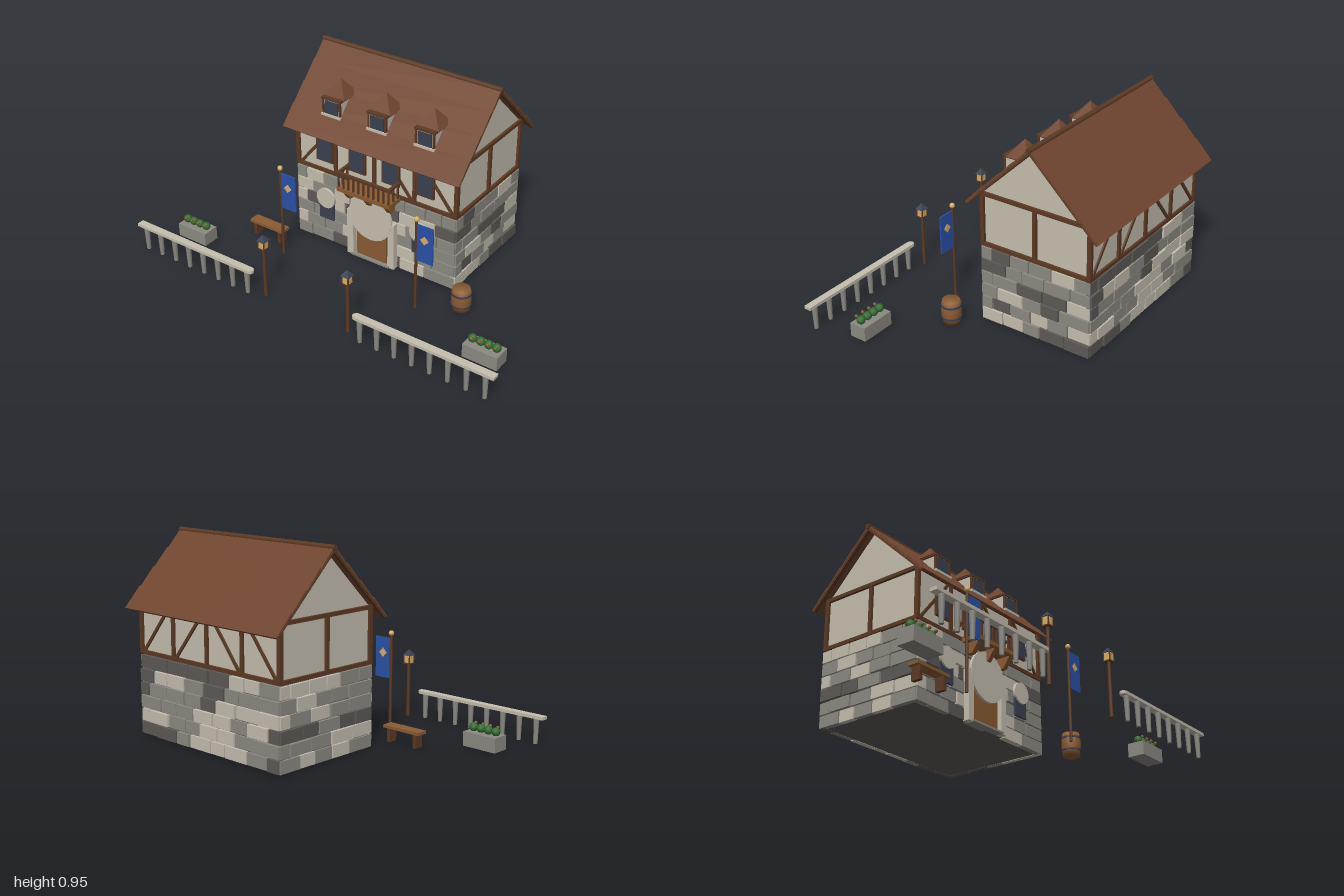
import * as THREE from 'three';

const mat = (name, color) => {
  const m = new THREE.MeshStandardMaterial({ color });
  m.name = name;
  return m;
};

export function createModel() {
  const M = {
    roof: mat('roofBrown', 0x70462f), timber: mat('darkTimber', 0x5c3a24),
    wood: mat('lightWood', 0x8a5c33), pale: mat('paleStoneAndPlaster', 0xc6bfaf),
    mid: mat('midStone', 0x8c8a82), dark: mat('darkStone', 0x5d5a56),
    slate: mat('slateBlue', 0x3a4150), blue: mat('bannerBlue', 0x2a52a8),
    green: mat('leafGreen', 0x346b30), gold: mat('gold', 0xd8b066),
  };
  const root = new THREE.Group();
  root.name = 'timberedInn';
  const add = (name, geo, m, x = 0, y = 0, z = 0, parent = root) => {
    const mesh = new THREE.Mesh(geo, m);
    mesh.name = name;
    mesh.position.set(x, y, z);
    parent.add(mesh);
    return mesh;
  };
  const box = (name, m, w, h, d, x, y, z, parent) =>
    add(name, new THREE.BoxGeometry(w, h, d), m, x, y, z, parent);
  const group = (name, x = 0, y = 0, z = 0, parent = root) => {
    const g = new THREE.Group();
    g.name = name;
    g.position.set(x, y, z);
    parent.add(g);
    return g;
  };
  // Extrudes a side profile of [z, y] points along x
  const sideExtrude = (pts, width) => {
    const s = new THREE.Shape(pts.map(([z, y]) => new THREE.Vector2(-z, y)));
    const g = new THREE.ExtrudeGeometry(s, { depth: width, bevelEnabled: false });
    return g.translate(0, 0, -width / 2).rotateY(Math.PI / 2);
  };
  let seed = 7;
  const rnd = () => (seed = (seed * 16807) % 2147483647) / 2147483647;

  const MID = -0.267; // depth of the ridge

  // Stone ground floor: dark core with courses of blocks on four sides
  box('stoneCore', M.dark, 0.89, 0.375, 0.555, 0, 0.1925, MID);
  const shades = [M.pale, M.mid, M.mid, M.mid, M.dark, M.pale];
  const stoneWall = (name, len, off, angle) => {
    const g = group(name, 0, 0, MID);
    g.rotation.y = angle;
    const rows = 6, h = 0.382 / rows;
    for (let r = 0; r < rows; r++) {
      let a = -len / 2;
      let first = r % 2 ? 0.06 : 0;
      while (a < len / 2 - 0.001) {
        let w = first || 0.085 + rnd() * 0.06;
        first = 0;
        if (len / 2 - a - w < 0.05) w = len / 2 - a;
        const depth = 0.024 + rnd() * 0.008;
        box('stone', shades[Math.floor(rnd() * shades.length)], w - 0.006, h - 0.005 - rnd() * 0.003,
          depth, a + w / 2, h * (r + 0.5), off - 0.028 + depth / 2, g);
        a += w;
      }
    }
  };
  stoneWall('frontStones', 0.91, 0.292, 0);
  stoneWall('backStones', 0.91, 0.292, Math.PI);
  stoneWall('leftStones', 0.58, 0.458, Math.PI / 2);
  stoneWall('rightStones', 0.58, 0.458, -Math.PI / 2);

  // Plastered upper floor and gables
  add('plasterWalls', sideExtrude(
    [[0.012, 0.385], [0.012, 0.645], [MID, 0.912], [-0.546, 0.645], [-0.546, 0.385]], 0.89), M.pale);

  // Timber frame on the long walls
  const T = 0.018;
  for (const s of [1, -1]) {
    const g = group(s > 0 ? 'frontFrame' : 'backFrame', 0, 0, MID);
    if (s < 0) g.rotation.y = Math.PI;
    const z = 0.28;
    for (const y of [0.394, 0.643]) box('beam', M.timber, 0.915, T, 0.02, 0, y, z, g);
    for (let i = -2; i <= 2; i++) box('post', M.timber, T, 0.25, 0.02, i * 0.2245, 0.518, z, g);
    for (const i of [-1.5, -0.5, 0.5, 1.5]) {
      const b = box('brace', M.timber, 0.014, 0.3, 0.014, i * 0.2245, 0.518, z, g);
      b.rotation.z = -Math.sign(i) * -0.68;
    }
  }
  // Timber frame on the gable walls
  for (const s of [1, -1]) {
    const g = group(s > 0 ? 'leftFrame' : 'rightFrame');
    for (const y of [0.394, 0.643]) box('beam', M.timber, 0.02, T, 0.575, s * 0.448, y, MID, g);
    for (const z of [0.013, MID, -0.547]) box('post', M.timber, 0.02, 0.25, T, s * 0.448, 0.518, z, g);
  }

  // Roof: overlapping courses on both slopes, edge boards and ridge pole
  for (const s of [1, -1]) {
    const turn = group(s > 0 ? 'frontRoof' : 'backRoof', 0, 0.93, MID);
    if (s < 0) turn.rotation.y = Math.PI;
    const slope = group('slope', 0, 0, 0, turn);
    slope.rotation.x = 0.77;
    for (let i = 0; i < 4; i++) {
      const c = box('roofCourse', M.roof, 0.985, 0.01, 0.128, 0, 0.001, 0.059 + i * 0.118, slope);
      c.rotation.x = 0.045;
    }
    for (const x of [-0.482, 0.482]) box('edgeBoard', M.timber, 0.016, 0.012, 0.472, x, -0.006, 0.237, slope);
  }
  add('ridgePole', new THREE.CylinderGeometry(0.013, 0.013, 0.995, 10).rotateZ(Math.PI / 2), M.timber, 0, 0.933, MID);

  // Dormers
  for (const x of [-0.26, 0, 0.26]) {
    const d = group('dormer', x, 0, 0);
    box('dormerWalls', M.pale, 0.094, 0.085, 0.13, 0, 0.727, -0.07, d);
    box('dormerWindow', M.slate, 0.074, 0.066, 0.006, 0, 0.73, -0.003, d);
    box('dormerSill', M.pale, 0.11, 0.012, 0.014, 0, 0.69, -0.002, d);
    for (const s of [-1, 1]) box('dormerPost', M.timber, 0.009, 0.085, 0.012, s * 0.047, 0.73, -0.006, d);
    box('dormerLintel', M.timber, 0.11, 0.01, 0.13, 0, 0.773, -0.064, d);
    add('dormerRoof', new THREE.ConeGeometry(0.085, 0.08, 4, 1).rotateY(Math.PI / 4).toNonIndexed(),
      M.roof, 0, 0.815, -0.082, d).geometry.computeVertexNormals();
  }

  // Upper windows
  for (const x of [-0.285, -0.095, 0.095, 0.285]) {
    box('upperWindowFrame', M.timber, 0.096, 0.124, 0.012, x, 0.51, 0.02);
    box('upperWindow', M.slate, 0.082, 0.11, 0.006, x, 0.51, 0.026);
  }

  // Round-headed ground floor openings
  const disc = (name, r, x, y, z) =>
    add(name, new THREE.CylinderGeometry(r, r, 0.014, 32).rotateX(Math.PI / 2), M.pale, x, y, z);
  for (const x of [-0.27, 0.27]) {
    box('lowerWindow', M.slate, 0.085, 0.12, 0.01, x, 0.195, 0.034);
    disc('windowArch', 0.053, x, 0.255, 0.04);
  }
  box('door', M.wood, 0.17, 0.24, 0.02, 0, 0.125, 0.033);
  disc('doorArch', 0.122, 0, 0.245, 0.049);
  for (const s of [-1, 1]) box('doorPillar', M.pale, 0.036, 0.25, 0.034, s * 0.118, 0.125, 0.037);
  box('doorStep', M.mid, 0.22, 0.01, 0.04, 0, 0.005, 0.04);

  // Balcony
  const balcony = group('balcony');
  box('balconyFloor', M.wood, 0.3, 0.02, 0.1, 0, 0.387, 0.065, balcony);
  const corbel = sideExtrude([[0.02, 0.378], [0.105, 0.378], [0.065, 0.322], [0.035, 0.322]], 0.024);
  for (const x of [-0.115, 0, 0.115]) add('corbel', corbel, M.wood, x, 0, 0, balcony);
  box('frontHandrail', M.timber, 0.31, 0.01, 0.014, 0, 0.475, 0.108, balcony);
  for (let i = 0; i <= 10; i++) box('baluster', M.timber, 0.008, 0.078, 0.008, -0.142 + i * 0.0284, 0.435, 0.108, balcony);
  for (const s of [-1, 1]) {
    box('sideHandrail', M.timber, 0.014, 0.01, 0.09, s * 0.144, 0.475, 0.068, balcony);
    for (const z of [0.036, 0.072]) box('sideBaluster', M.timber, 0.008, 0.078, 0.008, s * 0.144, 0.435, z, balcony);
  }

  // Banners on poles
  for (const x of [-0.383, 0.383]) {
    const b = group('banner', x, 0, 0.242);
    add('bannerPole', new THREE.CylinderGeometry(0.007, 0.007, 0.475, 8), M.timber, 0, 0.2375, 0, b);
    add('poleFinial', new THREE.SphereGeometry(0.013, 12, 8), M.gold, 0, 0.482, 0, b);
    box('bannerCloth', M.blue, 0.086, 0.19, 0.007, 0.046, 0.363, 0, b);
    box('bannerDiamond', M.gold, 0.031, 0.031, 0.013, 0.045, 0.386, 0, b).rotation.z = Math.PI / 4;
  }

  // Lamp posts
  for (const x of [-0.235, 0.235]) {
    const l = group('lampPost', x, 0, 0.558);
    add('lampPole', new THREE.CylinderGeometry(0.008, 0.009, 0.265, 8), M.timber, 0, 0.1325, 0, l);
    box('lantern', M.gold, 0.034, 0.04, 0.034, 0, 0.286, 0, l);
    box('lanternBase', M.timber, 0.036, 0.006, 0.036, 0, 0.266, 0, l);
    for (const a of [-1, 1]) for (const c of [-1, 1])
      box('lanternCorner', M.timber, 0.005, 0.042, 0.005, a * 0.016, 0.286, c * 0.016, l);
    const cap = new THREE.ConeGeometry(0.032, 0.03, 4).rotateY(Math.PI / 4).toNonIndexed();
    cap.computeVertexNormals();
    add('lanternCap', cap, M.slate, 0, 0.321, 0, l);
  }

  // Stone railings and planters
  for (const s of [-1, 1]) {
    const r = group('railing');
    box('railTop', M.pale, 0.7, 0.015, 0.036, s * 0.65, 0.128, 0.585, r);
    add('railEnd', new THREE.CylinderGeometry(0.018, 0.018, 0.015, 8), M.pale, s * 0.3, 0.128, 0.585, r);
    for (let i = 0; i < 8; i++)
      add('railPost', new THREE.CylinderGeometry(0.014, 0.01, 0.121, 8), M.mid, s * (0.32 + i * 0.0907), 0.0605, 0.588, r);

    const p = group('planter', s * 0.825, 0, 0.373);
    box('planterBox', M.mid, 0.174, 0.068, 0.085, 0, 0.034, 0, p);
    for (let i = 0; i < 4; i++) {
      const x = -0.06 + i * 0.04;
      add('bush', new THREE.IcosahedronGeometry(0.021, 1), M.green, x, 0.086, 0, p);
      add('flower', new THREE.IcosahedronGeometry(0.008, 1), M.wood, x + 0.005, 0.1, 0.022, p);
    }
  }

  // Barrel
  const barrel = group('barrel', 0.557, 0, 0.124);
  const prof = [[0, 0], [0.041, 0], [0.046, 0.03], [0.048, 0.057], [0.046, 0.085], [0.041, 0.114], [0, 0.114]];
  add('barrelBody', new THREE.LatheGeometry(prof.map(([x, y]) => new THREE.Vector2(x, y)), 16), M.wood, 0, 0, 0, barrel);
  for (const y of [0.028, 0.088])
    add('barrelHoop', new THREE.CylinderGeometry(0.0485, 0.0485, 0.009, 16), M.slate, 0, y, 0, barrel);

  // Bench
  const bench = group('bench', -0.533, 0, 0.164);
  box('benchSeat', M.wood, 0.204, 0.014, 0.056, 0, 0.071, 0, bench);
  for (const s of [-1, 1]) box('benchLeg', M.timber, 0.018, 0.064, 0.046, s * 0.075, 0.032, 0, bench);

  return root;
}
